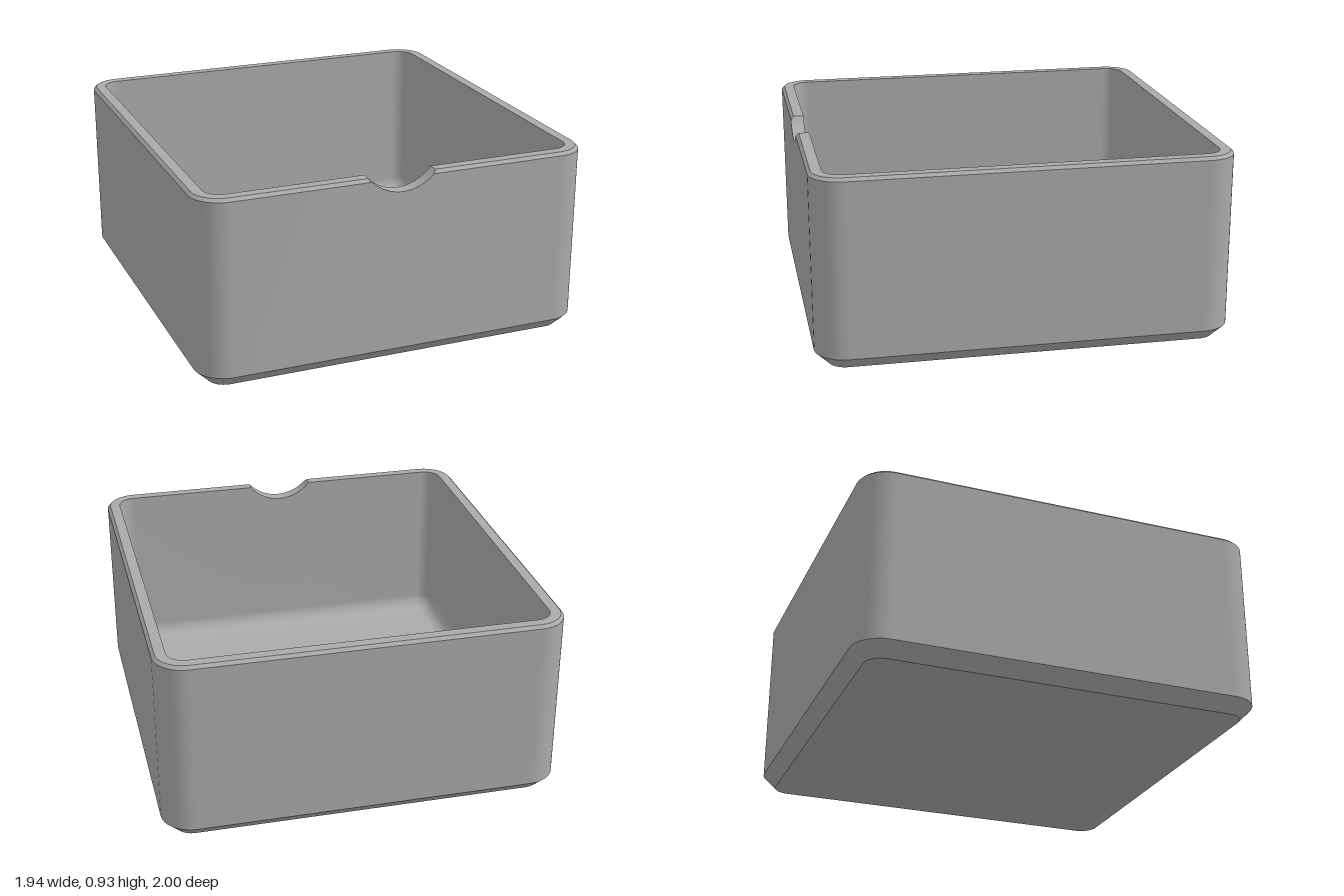
import * as THREE from 'three';
import { toCreasedNormals } from 'three/addons/utils/BufferGeometryUtils.js';

const HALF_X = 0.97, HALF_Z = 1, HEIGHT = 0.93, CORNER = 0.15;
const WALL = 0.065, FLOOR = 0.07, FILLET = 0.08;
const NOTCH = { y: 1.06, r: 0.21, half: 0.165 };

// Points round the rounded rectangle: a fixed base plus an outward direction
function outline() {
  const points = [];
  const cx = HALF_X - CORNER, cz = HALF_Z - CORNER, steps = 12, eps = 0.01;
  [[1, 1], [-1, 1], [-1, -1], [1, -1]].forEach(([sx, sz], q) => {
    for (let i = 0; i <= steps; i++) {
      const a = (q + i / steps) * Math.PI / 2;
      const p = { x: sx * cx, z: sz * cz, nx: Math.cos(a), nz: Math.sin(a) };
      // An extra point beside each arc keeps the flat walls evenly shaded
      if (i === 0) points.push({ ...p, x: p.x + p.nz * eps, z: p.z - p.nx * eps });
      points.push(p);
      if (i === steps) points.push({ ...p, x: p.x - p.nz * eps, z: p.z + p.nx * eps });
    }
    // Thumb notch samples along the front wall
    if (q === 0) {
      for (let i = 0; i <= 28; i++) {
        points.push({ x: NOTCH.half * (1 - i / 14), z: cz, nx: 0, nz: 1, notch: true });
      }
    }
  });
  return points;
}

// Wall section as [inset, height], from the underside over the rim to the floor
function section() {
  const rows = [
    [WALL, 0], [0, 0.065], [0, HEIGHT - 0.015], [0.015, HEIGHT], [WALL, HEIGHT],
    [WALL, FLOOR + FILLET + 0.01],
  ];
  for (let i = 0; i <= 10; i++) {
    const a = i / 10 * Math.PI / 2;
    rows.push([WALL + FILLET * (1 - Math.cos(a)), FLOOR + FILLET * (1 - Math.sin(a))]);
  }
  rows.push([WALL + FILLET + 0.004, FLOOR]);
  return rows;
}

function trayGeometry() {
  const ring = outline();
  const rings = section().map(([inset, y]) => ring.map((p) => {
    const r = CORNER - inset;
    const cut = p.notch ? NOTCH.y - Math.sqrt(NOTCH.r ** 2 - p.x ** 2) : HEIGHT;
    return new THREE.Vector3(p.x + p.nx * r, Math.min(y, cut), p.z + p.nz * r);
  }));
  // Close the underside and the floor at their centres
  rings.unshift(ring.map(() => new THREE.Vector3(0, 0, 0)));
  rings.push(ring.map(() => new THREE.Vector3(0, FLOOR, 0)));

  const positions = [];
  const tri = (a, b, c) => {
    const area = b.clone().sub(a).cross(c.clone().sub(a)).length();
    if (area > 1e-9) for (const v of [a, b, c]) positions.push(v.x, v.y, v.z);
  };
  for (let k = 0; k < rings.length - 1; k++) {
    for (let j = 0; j < ring.length; j++) {
      const n = (j + 1) % ring.length;
      const a = rings[k][j], b = rings[k][n], c = rings[k + 1][j], d = rings[k + 1][n];
      tri(a, c, b);
      tri(b, c, d);
    }
  }
  const geometry = new THREE.BufferGeometry();
  geometry.setAttribute('position', new THREE.Float32BufferAttribute(positions, 3));
  return toCreasedNormals(geometry, 0.45);
}

export function createModel() {
  const grey = new THREE.MeshStandardMaterial({ color: 0xaaaaaa });
  grey.name = 'plain grey';
  const model = new THREE.Group();
  model.name = 'openBox';
  const tray = new THREE.Mesh(trayGeometry(), grey);
  tray.name = 'notchedTray';
  model.add(tray);
  return model;
}
